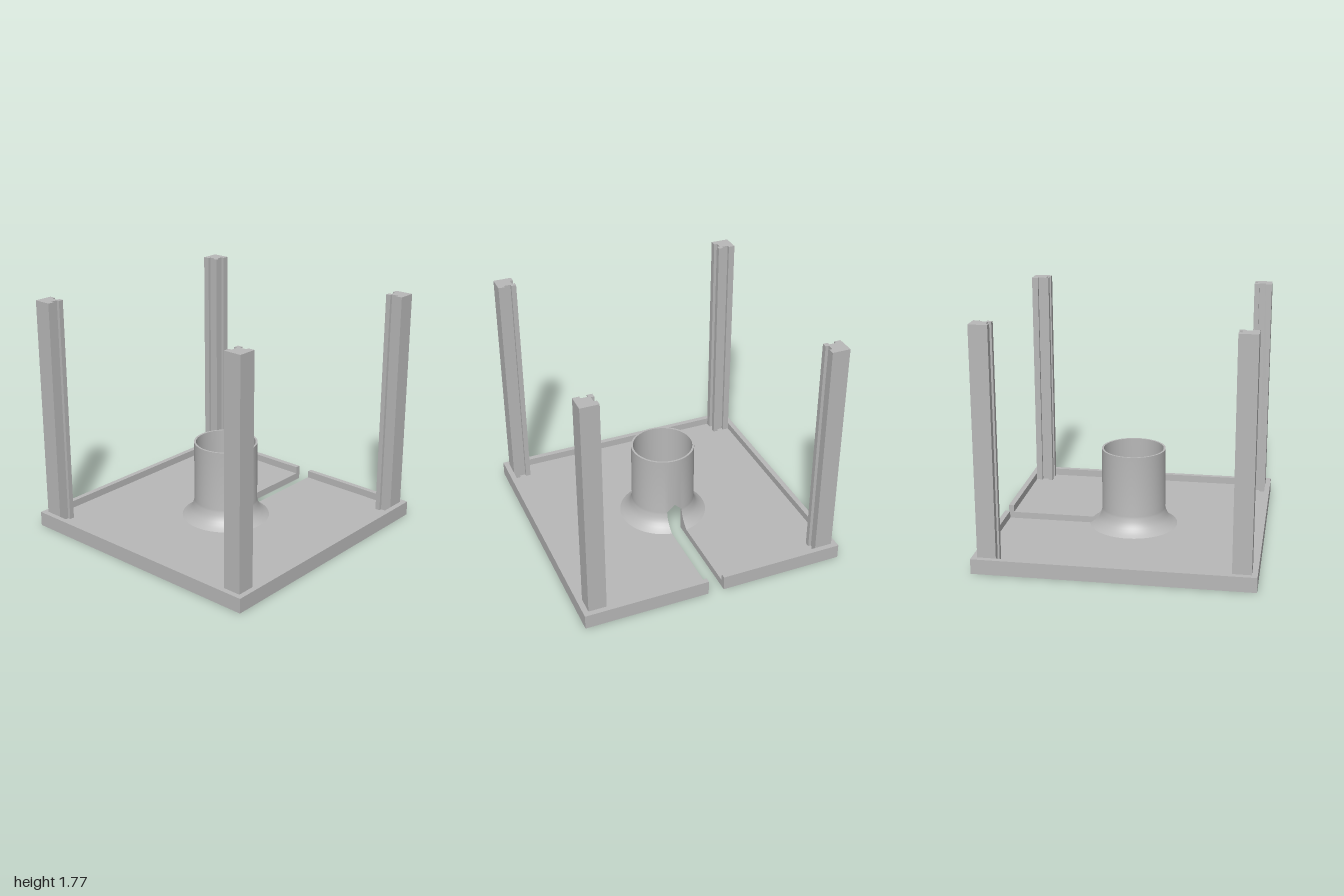
import * as THREE from 'three';
import { mergeGeometries, toCreasedNormals } from 'three/addons/utils/BufferGeometryUtils.js';

const FLOOR = 0.055, RIM = 0.11, RIM_IN = 0.96, POST_TOP = 1.775;
const SLOT = 0.06;                       // half width of the slot
const R_IN = 0.225, R_OUT = 0.24, TUBE_TOP = 0.655;
const ARCH = 0.19, PEAK = 0.25;          // pointed opening in the tube

// Extrude a plan outline upwards from y0 to y1
function slab(points, y0, y1) {
  const shape = new THREE.Shape(points.map(([x, y]) => new THREE.Vector2(x, y)));
  const geo = new THREE.ExtrudeGeometry(shape, { depth: y1 - y0, bevelEnabled: false });
  return geo.rotateX(-Math.PI / 2).translate(0, y0, 0);
}

// Sweep a section of [radius, height] points round the y axis
function sweep(section, angle, steps) {
  const pos = [], index = [], n = section(0).length;
  for (let j = 0; j <= steps; j++) {
    const t = j / steps;
    for (const [r, y] of section(t)) {
      const a = angle(r, t);
      pos.push(r * Math.cos(a), y, -r * Math.sin(a));
    }
  }
  for (let j = 0; j < steps; j++) {
    for (let i = 0; i < n - 1; i++) {
      const a = j * n + i, b = a + 1, c = b + n, d = a + n;
      index.push(a, b, c, a, c, d);
    }
  }
  const geo = new THREE.BufferGeometry();
  geo.setAttribute('position', new THREE.Float32BufferAttribute(pos, 3));
  geo.setIndex(index);
  return geo.toNonIndexed();
}

function tubeGeometry() {
  const flare = [[0.243, 0.175], [0.25, 0.15], [0.26, 0.126], [0.272, 0.108], [0.29, 0.087], [0.31, 0.07], [0.333, FLOOR]];
  const edge = r => Math.asin(SLOT / r);
  const wall = [[R_IN, FLOOR], [R_IN, ARCH], [R_IN, TUBE_TOP], [R_OUT, TUBE_TOP], [R_OUT, ARCH], ...flare];

  // Flared wall, from one side of the slot round to the other
  const body = sweep(() => wall, (r, t) => edge(r) + t * (2 * Math.PI - 2 * edge(r)), 72);

  // Wall above the pointed opening, with its underside
  const above = sweep(t => {
    const y = PEAK - (PEAK - ARCH) * Math.abs(2 * t - 1);
    return [[R_IN, y], [R_IN, TUBE_TOP], [R_OUT, TUBE_TOP], [R_OUT, y], [R_IN, y]];
  }, (r, t) => edge(r) * (2 * t - 1), 8);

  // Flat cut faces on both sides of the slot
  const cut = wall.filter(p => p[1] <= ARCH);
  const caps = [1, -1].map(s => {
    const shape = new THREE.Shape(cut.map(([r, y]) => new THREE.Vector2(s * Math.sqrt(r * r - SLOT * SLOT), y)));
    const geo = new THREE.ShapeGeometry(shape);
    if (s < 0) geo.rotateY(Math.PI);
    geo.translate(0, 0, -s * SLOT);
    geo.deleteAttribute('uv');
    geo.deleteAttribute('normal');
    return geo.toNonIndexed();
  });
  return toCreasedNormals(mergeGeometries([body, above, ...caps]), 0.6);
}

export function createModel() {
  const grey = new THREE.MeshStandardMaterial({ color: 0xb8b8b8 });
  grey.name = 'grey';
  const model = new THREE.Group();
  model.name = 'slottedTrayWithPosts';
  const add = (name, geo) => {
    const mesh = new THREE.Mesh(geo, grey);
    mesh.name = name;
    model.add(mesh);
  };

  // Floor plate with a keyhole cut-out open towards +x
  const outline = [[1, SLOT], [1, 1], [-1, 1], [-1, -1], [1, -1], [1, -SLOT]];
  const e = Math.asin(SLOT / R_IN);
  const hole = [];
  for (let i = 0; i <= 72; i++) {
    const a = -e - (i / 72) * (2 * Math.PI - 2 * e);
    hole.push([R_IN * Math.cos(a), R_IN * Math.sin(a)]);
  }
  add('floor', toCreasedNormals(slab([...outline, ...hole], 0, FLOOR), 0.5));

  // Raised rim, interrupted at the slot
  const k = RIM_IN;
  add('rim', slab([...outline, [k, -SLOT], [k, -k], [-k, -k], [-k, k], [k, k], [k, SLOT]], FLOOR, RIM));

  // Corner posts with a panel groove in each inner face
  const o = 0.96, i = 0.825, d = 0.848, g1 = 0.912, g2 = 0.862;
  const post = [[o, o], [i, o], [i, g1], [d, g1], [d, g2], [i, g2], [i, i],
    [g2, i], [g2, d], [g1, d], [g1, i], [o, i]];
  for (const sx of [-1, 1]) {
    for (const sz of [-1, 1]) {
      const name = (sz > 0 ? 'back' : 'front') + (sx > 0 ? 'Left' : 'Right') + 'Post';
      add(name, slab(post.map(([x, y]) => [sx * x, sz * y]), FLOOR, POST_TOP));
    }
  }

  // Central flared tube
  add('centralTube', tubeGeometry());
  return model;
}
